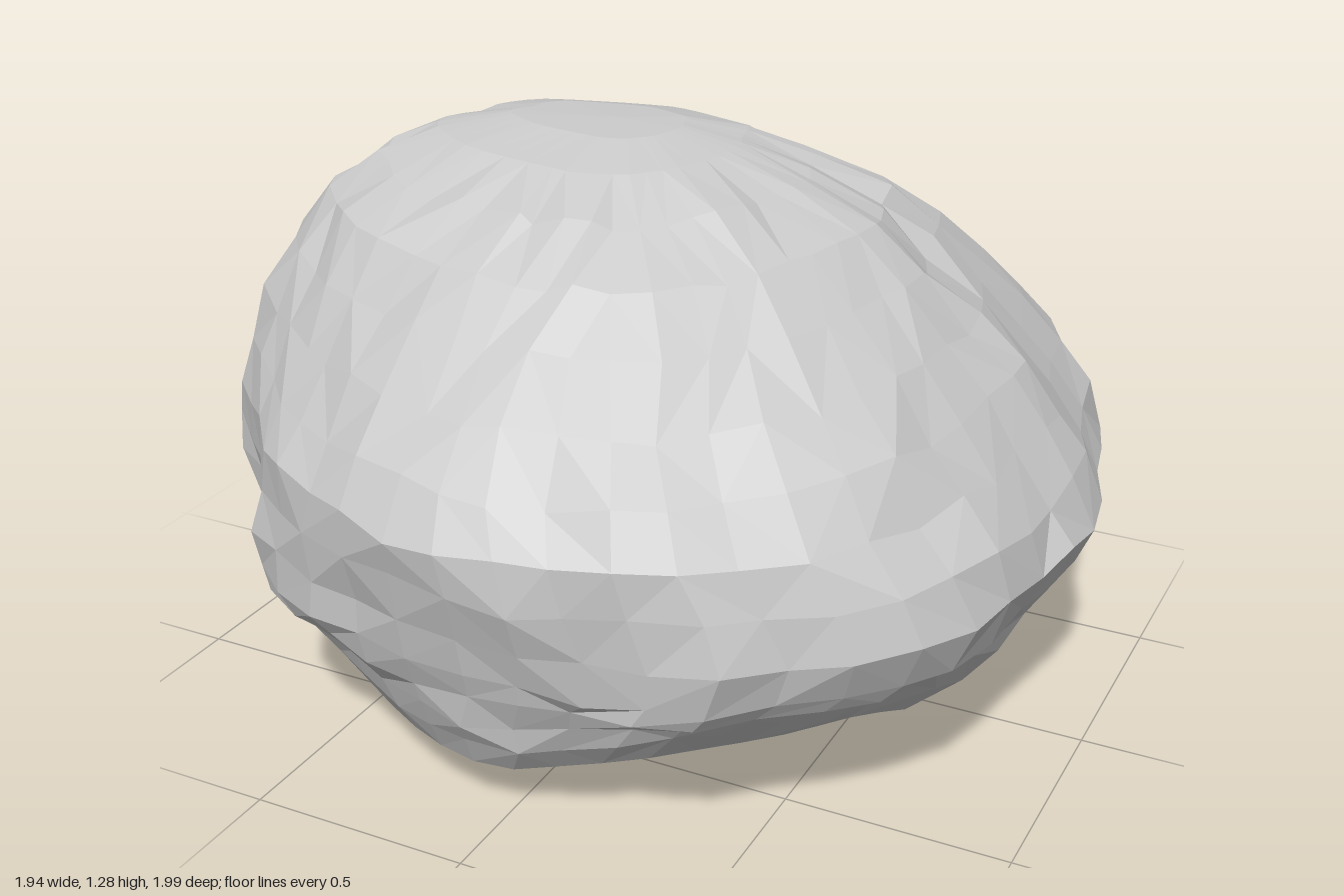
import * as THREE from 'three';

// Widest outline seen from above (x, z), anticlockwise from the left side
const OUTLINE = [
  [0.97, -0.07], [0.95, -0.22], [0.88, -0.38], [0.84, -0.6], [0.76, -0.75], [0.6, -0.79], [0.47, -0.84],
  [0.3, -0.91], [0.05, -0.98], [-0.1, -1], [-0.3, -0.94], [-0.5, -0.84], [-0.72, -0.7], [-0.82, -0.5],
  [-0.87, -0.33], [-0.88, -0.05], [-0.97, 0.17], [-0.94, 0.42], [-0.78, 0.64], [-0.62, 0.8], [-0.25, 0.95],
  [0, 1], [0.25, 0.96], [0.48, 0.89], [0.62, 0.76], [0.78, 0.6], [0.88, 0.35], [0.95, 0.12],
];
// Rings from crown to base: height, then reach to +x, -x, +z, -z
const RINGS = [
  [1.285, -0.15, -0.15, 0, 0], [1.28, 0, -0.4, 0.14, -0.12], [1.25, 0.13, -0.56, 0.3, -0.24],
  [1.19, 0.29, -0.68, 0.45, -0.36], [1.11, 0.45, -0.78, 0.6, -0.49], [1.01, 0.56, -0.85, 0.71, -0.58],
  [0.9, 0.66, -0.89, 0.84, -0.7], [0.8, 0.75, -0.92, 0.94, -0.79], [0.7, 0.83, -0.94, 1, -0.86],
  [0.6, 0.92, -0.97, 0.99, -0.91], [0.5, 0.97, -0.97, 0.96, -0.95], [0.4, 0.93, -0.97, 0.94, -0.98],
  [0.3, 0.88, -0.92, 0.92, -1], [0.2, 0.82, -0.87, 0.9, -0.99], [0.1, 0.74, -0.79, 0.88, -0.93],
  [0, 0.61, -0.68, 0.84, -0.8], [0, 0.48, -0.48, 0.58, -0.54], [0, 0.2, -0.3, 0.28, -0.28],
  [0, -0.15, -0.15, 0, 0],
];
// Hollows (and swellings, with negative depth): x, y, z, radius, depth
const DENTS = [
  [-0.86, 0.42, 0.62, 0.26, 0.06], [-0.9, 0.82, 0.25, 0.16, 0.03], [-0.6, 0.78, 0.68, 0.35, 0.05],
  [0.57, 0.45, -0.78, 0.28, 0.1], [0.37, 0.68, -0.75, 0.36, 0.07],
  [0.65, 0.65, 0.42, 0.42, -0.05], [0.74, 0.78, -0.25, 0.3, -0.03], [-0.35, 0.65, -0.8, 0.4, -0.03],
];
const CX = -0.15, N = 46;

// Height of the uneven underside, rising to the front corners
function floorHeight(x, z) {
  const steps = [[-0.8, 0.03], [-0.4, 0.07], [0, 0.05], [0.3, 0.1], [0.84, 0.13]];
  let h = z < 0 ? 0.03 : 0.13;
  for (let i = 0; i < 4; i++) {
    const [z0, h0] = steps[i], [z1, h1] = steps[i + 1];
    if (z >= z0 && z <= z1) h = THREE.MathUtils.mapLinear(z, z0, z1, h0, h1);
  }
  const foot = Math.exp(-((x - 0.57) ** 2 + z * z) / 0.03);
  const leftCorner = Math.max(0, (x + z) * Math.SQRT1_2 - 0.6);
  const rightCorner = Math.max(0, (z - x) * Math.SQRT1_2 - 0.72);
  return Math.max(0, h + 0.03 * Math.max(0, -x) - 0.07 * foot + 0.45 * leftCorner + 0.3 * rightCorner);
}

function boulderGeometry() {
  let seed = 7;
  const rand = () => ((seed = (seed * 16807) % 2147483647) / 2147483647) * 2 - 1;
  const smooth = THREE.MathUtils.smoothstep;
  const curve = new THREE.CatmullRomCurve3(OUTLINE.map(([x, z]) => new THREE.Vector3(x, 0, z)), true, 'centripetal');
  const outline = curve.getSpacedPoints(N).slice(0, N);
  const pos = [], index = [];

  RINGS.forEach(([y, xp, xn, zp, zn]) => {
    outline.forEach((o) => {
      // Scale the outline to the ring on each side
      const dx = o.x - CX;
      const x = CX + dx * (dx > 0 ? (xp - CX) / (0.97 - CX) : (xn - CX) / (-0.97 - CX));
      let fz = o.z > 0 ? zp : -zn;
      if (o.z < 0 && y > 0) {
        // Steep ridge at the back left corner
        const w = smooth(o.x, 0.5, 0.72) * smooth(-o.z, 0.35, 0.65) * (1 - smooth(y, 0.9, 1.2));
        fz = THREE.MathUtils.lerp(fz, Math.min(1, fz * 1.18), w);
      } else if (y > 0.25 && y < 0.65) {
        // Low brow either side of the front
        fz = THREE.MathUtils.lerp(fz, 1, 0.6 * smooth(Math.abs(o.x), 0.15, 0.45));
      }
      const p = new THREE.Vector3(x, y, o.z * fz);
      if (y < 0.4) p.y += floorHeight(x, p.z) * (1 - y / 0.4);
      // Hollows, swellings and chipped surface
      const inward = new THREE.Vector3(CX, 0.6, 0).sub(p).normalize();
      for (const [a, b, c, radius, depth] of DENTS) {
        const d = Math.hypot(p.x - a, p.y - b, p.z - c) / radius;
        if (d < 1) p.addScaledVector(inward, depth * (1 - d * d));
      }
      if (y > 0 && y < 1.2) {
        p.addScaledVector(inward, (y > 0.75 ? 0.004 : 0.008) * rand());
        p.x += 0.015 * rand() * Math.abs(o.z);
        p.y += 0.014 * rand();
        p.z += 0.015 * rand() * Math.abs(o.x);
      }
      pos.push(p.x, p.y, p.z);
    });
  });

  // Join the rings, flipping diagonals irregularly
  for (let r = 0; r < RINGS.length - 1; r++) {
    for (let j = 0; j < N; j++) {
      const k = (j + 1) % N;
      const a = r * N + j, b = r * N + k, c = a + N, d = b + N;
      if (r === 0) index.push(a, c, d);
      else if (r === RINGS.length - 2) index.push(a, c, b);
      else if (rand() > 0) index.push(a, c, b, b, c, d);
      else index.push(a, c, d, a, d, b);
    }
  }
  const geometry = new THREE.BufferGeometry();
  geometry.setAttribute('position', new THREE.Float32BufferAttribute(pos, 3));
  geometry.setIndex(index);
  geometry.computeVertexNormals();
  return geometry;
}

export function createModel() {
  const group = new THREE.Group();
  group.name = 'rock';
  const material = new THREE.MeshStandardMaterial({ color: 0xcccccc, flatShading: true });
  const boulder = new THREE.Mesh(boulderGeometry(), material);
  boulder.name = 'boulder';
  group.add(boulder);
  return group;
}
